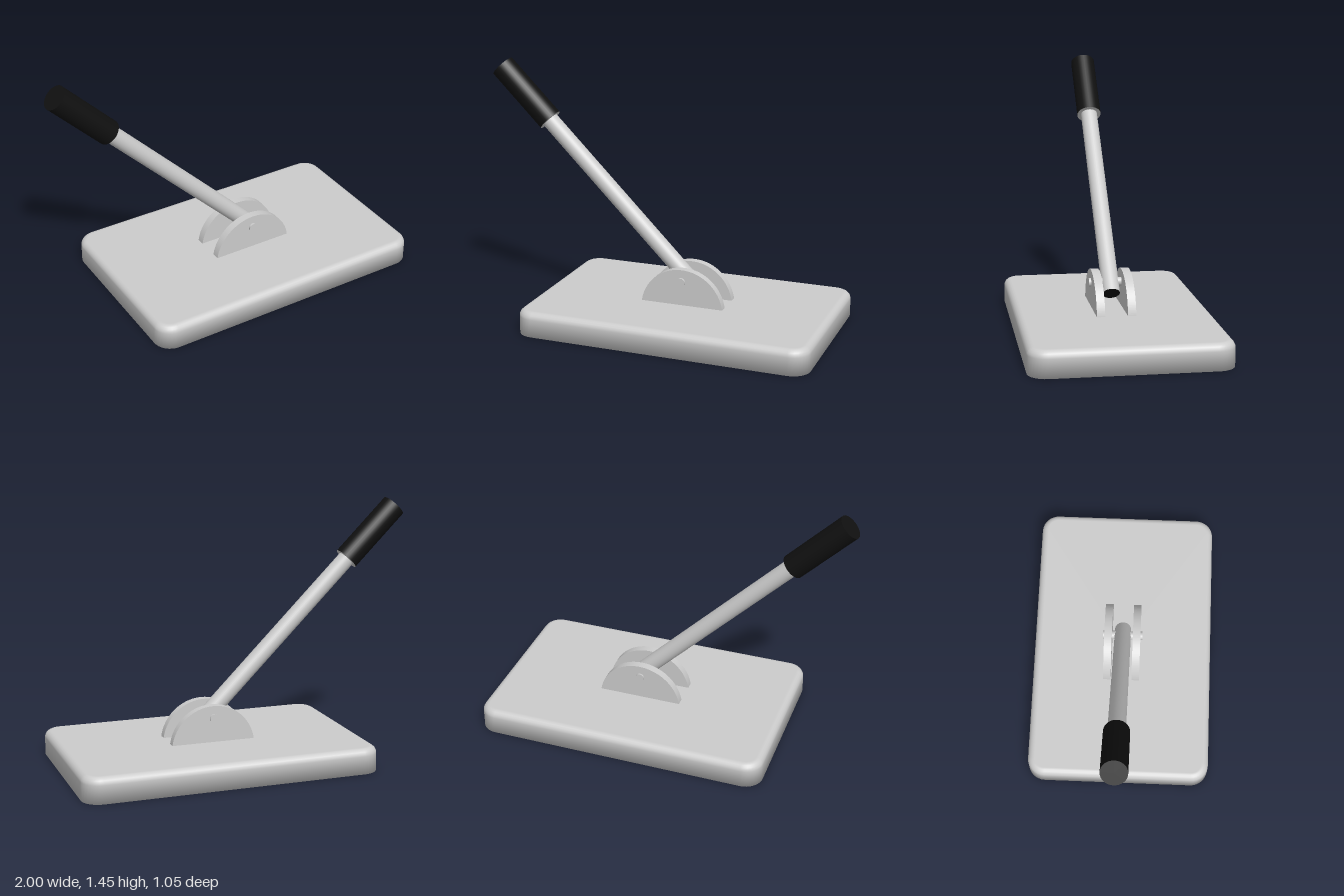
import * as THREE from 'three';

const grey = new THREE.MeshStandardMaterial({ color: 0xcccccc });
grey.name = 'light grey metal';
const black = new THREE.MeshStandardMaterial({ color: 0x101010 });
black.name = 'black rubber';

const PIVOT = new THREE.Vector3(0.167, 0.275, 0);

function addMesh(parent, name, geometry, material) {
  const mesh = new THREE.Mesh(geometry, material);
  mesh.name = name;
  parent.add(mesh);
  return mesh;
}

// Rounded slab from stacked rounded-rectangle loops; softly shaded, flat underneath
function slabGeometry(hx, hz, height, corner, bevel) {
  const steps = 8, bevelSteps = 5;
  const rows = [{ inset: 0, y: 0, tilt: -Math.PI / 4 }];
  for (let k = 0; k <= bevelSteps; k++) {
    const t = (k / bevelSteps) * Math.PI / 2;
    rows.push({
      inset: bevel * (1 - Math.cos(t)),
      y: height - bevel * (1 - Math.sin(t)),
      tilt: t,
    });
  }
  const signs = [[1, 1], [-1, 1], [-1, -1], [1, -1]];
  const count = 4 * (steps + 1);
  const positions = [], normals = [], index = [];
  for (const { inset, y, tilt } of rows) {
    signs.forEach(([sx, sz], q) => {
      for (let s = 0; s <= steps; s++) {
        const a = (q + s / steps) * Math.PI / 2;
        const r = corner - inset;
        positions.push(sx * (hx - corner) + r * Math.cos(a), y, sz * (hz - corner) + r * Math.sin(a));
        normals.push(Math.cos(a) * Math.cos(tilt), Math.sin(tilt), Math.sin(a) * Math.cos(tilt));
      }
    });
  }
  const bottom = rows.length * count, top = bottom + 1;
  const last = (rows.length - 1) * count;
  positions.push(0, 0, 0, 0, height, 0);
  normals.push(0, -1, 0, 0, 1, 0);
  for (let i = 0; i < count; i++) {
    const n = (i + 1) % count;
    for (let j = 0; j < rows.length - 1; j++) {
      const a = j * count + i, b = j * count + n;
      index.push(a, a + count, b, b, a + count, b + count);
    }
    index.push(bottom, i, n, top, last + n, last + i);
  }
  const g = new THREE.BufferGeometry();
  g.setAttribute('position', new THREE.Float32BufferAttribute(positions, 3));
  g.setAttribute('normal', new THREE.Float32BufferAttribute(normals, 3));
  g.setIndex(index);
  return g;
}

export function createModel() {
  const model = new THREE.Group();
  model.name = 'handLever';

  // Base plate
  addMesh(model, 'basePlate', slabGeometry(0.83, 0.527, 0.14, 0.1, 0.04), grey).position.x = 0.17;

  // Pair of dome-shaped side plates cut off at the base
  const radius = 0.24, centreY = 0.105, cut = Math.asin((0.138 - centreY) / radius);
  const dome = new THREE.Shape();
  dome.absarc(0.17, centreY, radius, cut, Math.PI - cut, false);
  dome.closePath();
  const plate = new THREE.ExtrudeGeometry(dome, { depth: 0.045, bevelEnabled: false, curveSegments: 40 });
  addMesh(model, 'leftBracket', plate, grey).position.z = 0.06;
  addMesh(model, 'rightBracket', plate, grey).position.z = -0.108;

  // Hinge pin through both brackets
  const pin = addMesh(model, 'hingePin', new THREE.CylinderGeometry(0.024, 0.024, 0.234, 24), grey);
  pin.rotation.x = Math.PI / 2;
  pin.position.copy(PIVOT);

  // Lever, leaning back at 45 degrees about the pin
  const lever = new THREE.Group();
  lever.name = 'lever';
  lever.position.copy(PIVOT);
  lever.rotation.z = Math.PI / 4;
  model.add(lever);

  // Rod with a black lower end face
  const rodStart = -0.076, rodEnd = 1.3;
  const rod = new THREE.CylinderGeometry(0.048, 0.048, rodEnd - rodStart, 32);
  addMesh(lever, 'rod', rod, [grey, grey, black]).position.y = (rodStart + rodEnd) / 2;

  // Grip with a grey lower end face
  const gripStart = 1.175, gripEnd = 1.585;
  const grip = new THREE.CylinderGeometry(0.07, 0.07, gripEnd - gripStart, 32);
  addMesh(lever, 'grip', grip, [black, black, grey]).position.y = (gripStart + gripEnd) / 2;

  return model;
}
